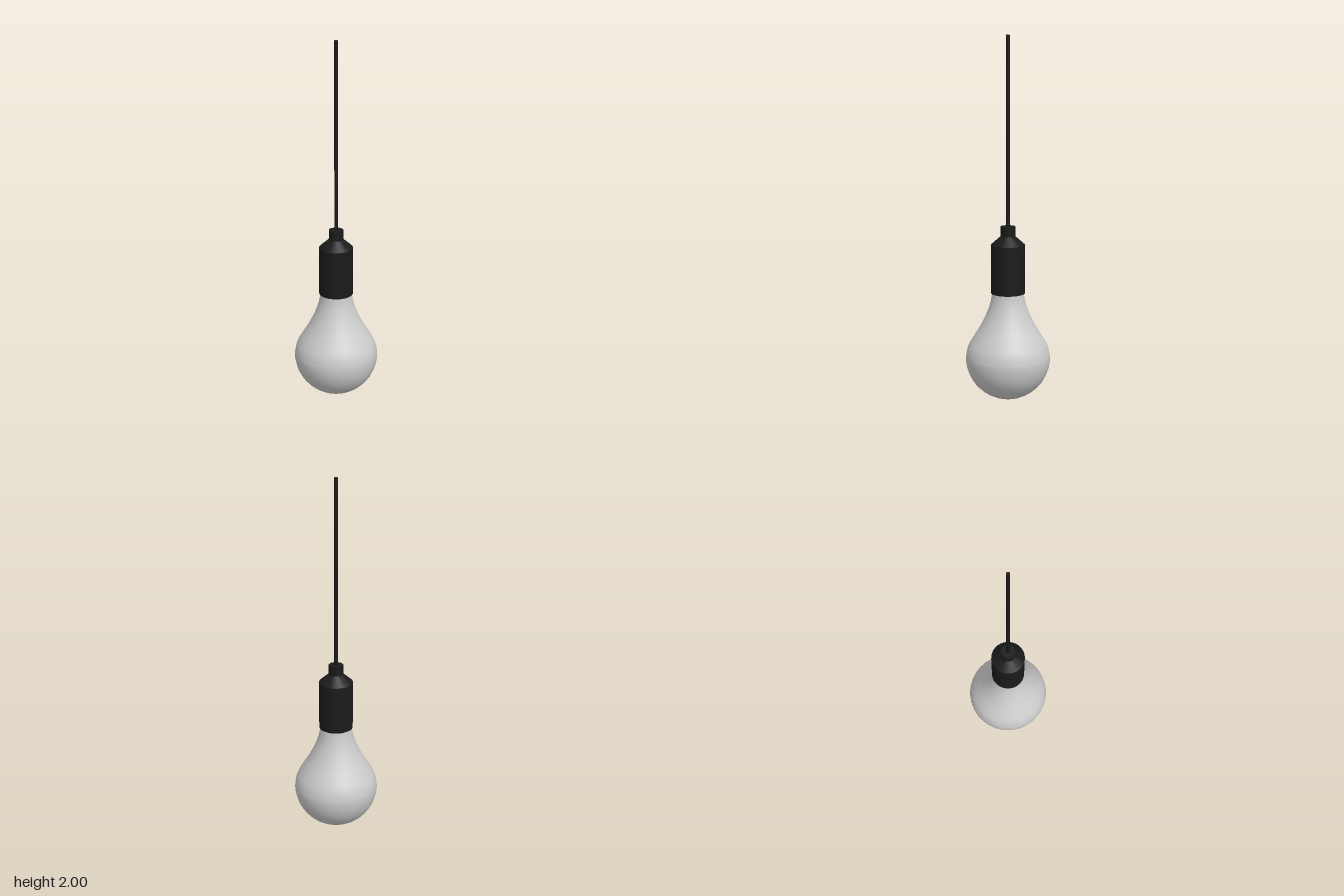
import * as THREE from 'three';
import { toCreasedNormals } from 'three/addons/utils/BufferGeometryUtils.js';

const SIDES = 32;

const vec = ([x, y]) => new THREE.Vector2(x, y);

function addMesh(group, name, geometry, color) {
  const mesh = new THREE.Mesh(geometry, new THREE.MeshStandardMaterial({ color }));
  mesh.name = name;
  group.add(mesh);
}

export function createModel() {
  const group = new THREE.Group();
  group.name = 'pendantBulb';

  // Glass bulb: round lower bowl, then a smooth shoulder into the neck
  const R = 0.235;
  const bowl = [];
  for (let i = 0; i <= 12; i++) {
    const a = (i / 12) * Math.PI / 2;
    bowl.push(vec([R * Math.sin(a), R * (1 - Math.cos(a))]));
  }
  const shoulder = new THREE.SplineCurve([
    [R, R], [0.222, 0.295], [0.182, 0.365], [0.152, 0.415],
    [0.118, 0.485], [0.095, 0.555], [0.086, 0.62],
  ].map(vec)).getPoints(18).slice(1);
  addMesh(group, 'bulb', new THREE.LatheGeometry([...bowl, ...shoulder], SIDES), 0xcccccc);

  // Socket: cylinder, tapered shoulder and cord collar
  const socket = new THREE.LatheGeometry([
    [0, 0.6], [0.094, 0.6], [0.094, 0.87], [0.04, 0.918], [0.04, 0.972], [0, 0.972],
  ].map(vec), SIDES);
  addMesh(group, 'socket', toCreasedNormals(socket, 0.5), 0x1a1a1a);

  // Hanging cord
  const cord = new THREE.CylinderGeometry(0.01, 0.01, 1.04, 12);
  cord.translate(0, 1.48, 0);
  addMesh(group, 'cord', cord, 0x1a1a1a);

  return group;
}
